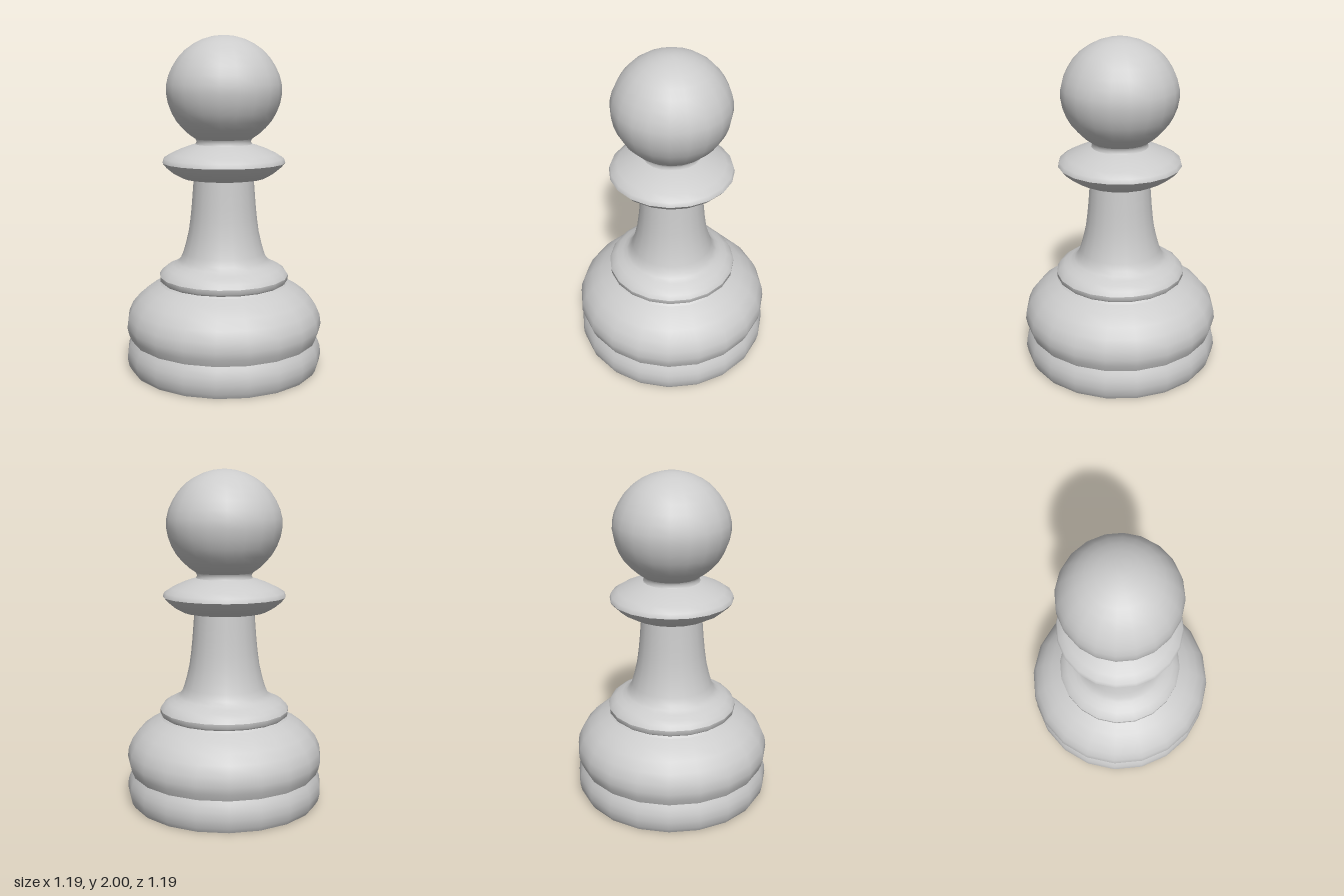
import * as THREE from 'three';

const SIDES = 20;

export function createModel() {
  const group = new THREE.Group();
  group.name = 'pawn';
  const grey = new THREE.MeshStandardMaterial({ color: 0xcccccc });
  grey.name = 'plain grey';

  // Each turned section is smooth inside; the seams between sections stay crisp.
  function turn(name, profile) {
    const points = profile.map(([r, y]) => new THREE.Vector2(r, y));
    const mesh = new THREE.Mesh(new THREE.LatheGeometry(points, SIDES), grey);
    mesh.name = name;
    group.add(mesh);
  }

  // Foot
  turn('underside', [[0, 0], [0.57, 0]]);
  turn('foot', [[0.57, 0], [0.587, 0.03], [0.597, 0.08], [0.592, 0.125], [0.58, 0.16], [0.568, 0.185]]);

  // Rounded body
  turn('body', [[0.568, 0.185], [0.585, 0.225], [0.595, 0.27], [0.588, 0.325], [0.562, 0.385],
    [0.515, 0.44], [0.455, 0.485], [0.388, 0.52]]);

  // Step and lower ring
  turn('step', [[0.388, 0.52], [0.376, 0.53]]);
  turn('lowerRingEdge', [[0.376, 0.53], [0.39, 0.543], [0.392, 0.57]]);
  turn('lowerRing', [[0.392, 0.57], [0.376, 0.595], [0.345, 0.617], [0.31, 0.632], [0.283, 0.648],
    [0.262, 0.67], [0.245, 0.71], [0.228, 0.77], [0.212, 0.84], [0.201, 0.92], [0.193, 1.0],
    [0.186, 1.09], [0.18, 1.17]]);

  // Collar
  turn('collarUnderside', [[0.18, 1.17], [0.25, 1.165]]);
  turn('collarRim', [[0.25, 1.165], [0.305, 1.195], [0.345, 1.228], [0.368, 1.255]]);
  turn('collarTop', [[0.368, 1.255], [0.36, 1.282], [0.32, 1.307], [0.26, 1.335], [0.205, 1.355], [0.17, 1.365]]);

  // Neck
  turn('neck', [[0.17, 1.365], [0.162, 1.38], [0.17, 1.397]]);

  // Head
  turn('head', [[0.17, 1.397], [0.21, 1.425], [0.25, 1.462], [0.285, 1.503], [0.312, 1.55],
    [0.333, 1.605], [0.344, 1.665], [0.342, 1.715], [0.329, 1.768], [0.305, 1.82], [0.272, 1.871],
    [0.23, 1.916], [0.18, 1.951], [0.125, 1.978], [0.065, 1.995], [0.02, 2], [0, 2]]);

  return group;
}
